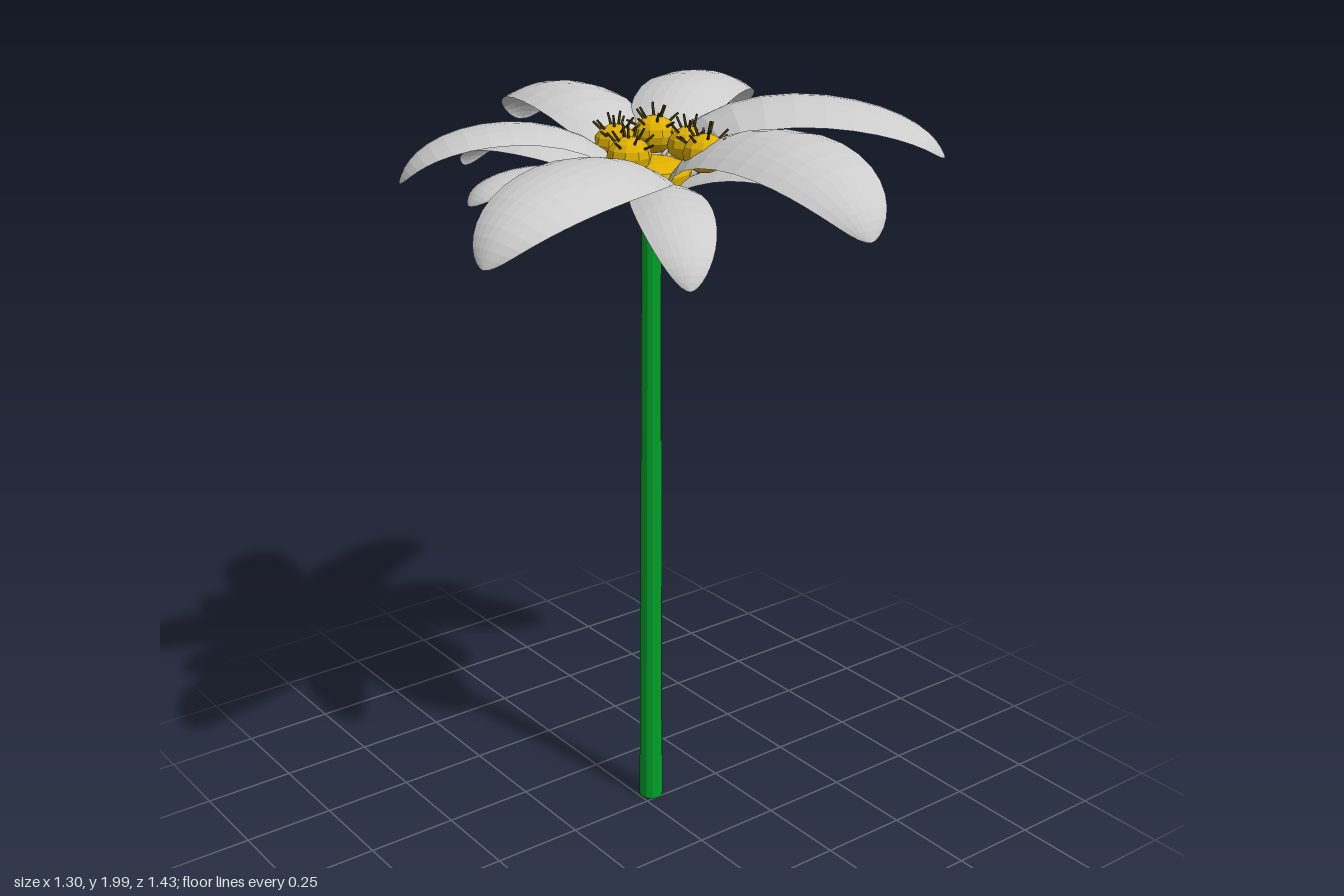
import * as THREE from 'three';

const paint = (color, side = THREE.FrontSide) =>
  new THREE.MeshStandardMaterial({ color, side, flatShading: true });
const petalMat = paint(0xcccccc, THREE.DoubleSide);
const yellow = paint(0xdfb000);
const green = paint(0x00a028);
const dark = paint(0x4a4010);
const UP = new THREE.Vector3(0, 1, 0);
const CENTER = new THREE.Vector3(0.036, 0, -0.03);

function add(parent, name, geometry, material, x = 0, y = 0, z = 0) {
  const mesh = new THREE.Mesh(geometry, material);
  mesh.name = name;
  mesh.position.set(x, y, z);
  parent.add(mesh);
  return mesh;
}

// Petal: a sheet bent along a midrib that arches and hooks down at its blunt tip
function petalGeometry({ mid, tip, width, baseY, lift, roll = 0 }) {
  const m = new THREE.Vector3(...mid), end = new THREE.Vector3(...tip);
  const base = new THREE.Vector3(m.x, 0, m.z).sub(CENTER).setLength(0.075).add(CENTER).setY(baseY);
  const c2 = end.clone().lerp(m, 0.17).setY(m.y + lift);
  const c1 = m.clone().multiplyScalar(8).sub(base).sub(end).divideScalar(3).sub(c2); // rib passes through mid
  const rib = new THREE.CubicBezierCurve3(base, c1, c2, end);

  const geo = new THREE.PlaneGeometry(2, 1, 8, 16);
  const pos = geo.attributes.position;
  for (let i = 0; i < pos.count; i++) {
    const s = pos.getX(i);
    const t = Math.sin((pos.getY(i) + 0.5) * Math.PI / 2); // finer rows near the tip
    const p = rib.getPoint(t), dir = rib.getTangent(t);
    const side = dir.clone().cross(UP).normalize().applyAxisAngle(dir, roll);
    const normal = side.clone().cross(dir);
    const w = Math.pow(Math.max(0, Math.sin(Math.PI * (0.1 + 0.9 * t))), 0.55);
    p.addScaledVector(side, s * w * width / 2).addScaledVector(normal, -s * s * w * width * 0.13);
    pos.setXYZ(i, p.x, p.y, p.z);
  }
  geo.computeVertexNormals();
  return geo;
}

const upperPetals = [
  { mid: [0.045, 1.975, -0.42], tip: [0.10, 1.825, -0.715], width: 0.27 },
  { mid: [0.375, 1.985, -0.27], tip: [0.64, 1.845, -0.43], width: 0.25, roll: 0.1 },
  { mid: [0.37, 1.985, 0.165], tip: [0.635, 1.84, 0.40], width: 0.275, roll: 0.1 },
  { mid: [0.09, 1.95, 0.41], tip: [0.09, 1.775, 0.715], width: 0.28, roll: 0.2 },
  { mid: [-0.36, 1.90, 0.205], tip: [-0.65, 1.735, 0.265], width: 0.26, roll: -0.2 },
  { mid: [-0.31, 1.945, -0.19], tip: [-0.54, 1.81, -0.29], width: 0.24 },
];
const lowerPetals = [
  { mid: [0.23, 1.87, -0.34], tip: [0.345, 1.77, -0.515], width: 0.19 },
  { mid: [0.36, 1.875, -0.06], tip: [0.575, 1.75, -0.03], width: 0.19 },
  { mid: [0.21, 1.85, 0.28], tip: [0.25, 1.765, 0.455], width: 0.19 },
  { mid: [-0.13, 1.81, 0.28], tip: [-0.23, 1.66, 0.47], width: 0.19 },
  { mid: [-0.33, 1.87, -0.015], tip: [-0.505, 1.80, -0.025], width: 0.18 },
  { mid: [-0.165, 1.87, -0.35], tip: [-0.205, 1.77, -0.52], width: 0.18 },
];

// Pollen head: a slightly flattened ball with spines standing on top
function pollenHead(x, y, z, turn) {
  const head = new THREE.Group();
  head.name = 'pollenHead';
  head.position.set(x, y, z);
  head.rotation.y = turn;
  add(head, 'pollenBall', new THREE.SphereGeometry(0.056, 10, 8).scale(1, 0.85, 1), yellow);
  const spine = new THREE.CylinderGeometry(0.003, 0.004, 0.04, 5);
  const count = 11;
  for (let i = 0; i < count; i++) {
    const h = 1 - 0.6 * (i + 0.3) / count, r = Math.sqrt(1 - h * h), a = i * 2.4;
    const dir = new THREE.Vector3(r * Math.cos(a), h, r * Math.sin(a));
    const mesh = add(head, 'spine', spine, dark);
    mesh.position.copy(dir).multiplyScalar(0.06);
    mesh.quaternion.setFromUnitVectors(UP, dir);
  }
  return head;
}

export function createModel() {
  const flower = new THREE.Group();
  flower.name = 'flower';

  // Tapered stem
  add(flower, 'stem', new THREE.CylinderGeometry(0.025, 0.033, 1.74, 12, 4), green, CENTER.x, 0.87, CENTER.z);

  // Receptacle: round below, flattened on top
  const cup = new THREE.SphereGeometry(0.103, 12, 10);
  const pos = cup.attributes.position;
  for (let i = 0; i < pos.count; i++) pos.setY(i, pos.getY(i) * (pos.getY(i) > 0 ? 0.35 : 0.92));
  cup.computeVertexNormals();
  add(flower, 'receptacle', cup, yellow, CENTER.x, 1.81, CENTER.z);

  // Two whorls of petals
  for (const p of upperPetals) add(flower, 'upperPetal', petalGeometry({ baseY: 1.82, lift: 0.03, ...p }), petalMat);
  for (const p of lowerPetals) add(flower, 'lowerPetal', petalGeometry({ baseY: 1.79, lift: 0.015, ...p }), petalMat);

  // Pollen heads around the middle
  const heads = [[-0.005, 1.87, -0.125], [0.095, 1.885, -0.095], [0.14, 1.865, -0.01], [-0.07, 1.87, 0.02], [0.055, 1.885, 0.16]];
  heads.forEach(([x, y, z], i) => flower.add(pollenHead(x, y, z, i * 1.3)));

  return flower;
}
